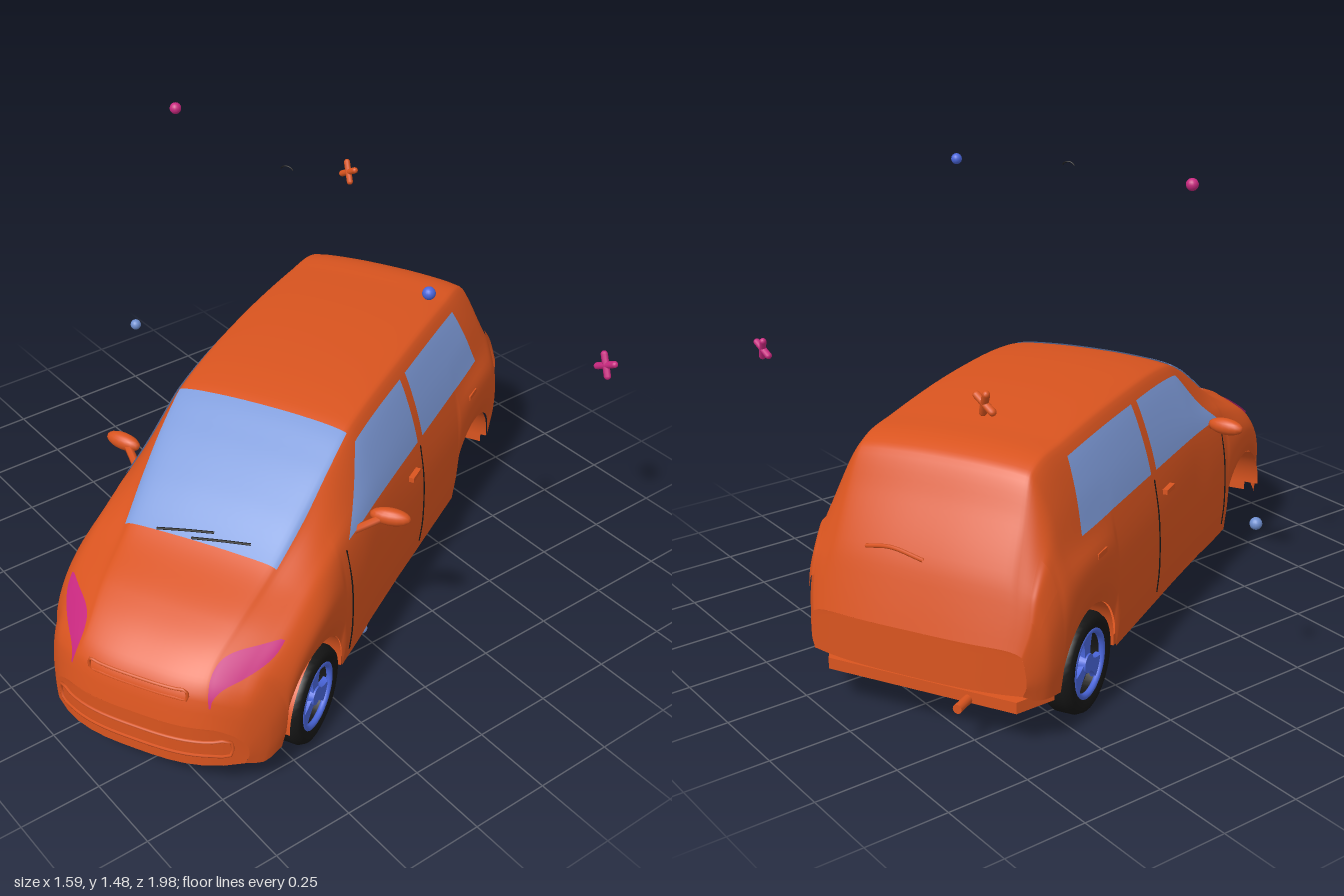
import * as THREE from 'three';

const mat = (color, side = THREE.DoubleSide) => new THREE.MeshStandardMaterial({ color, side });
const paint = mat(0xd9541f), glass = mat(0x7f9cdb), lamp = mat(0xc8287f), black = mat(0x161616);
const rimBlue = mat(0x4a66dc), paleBlue = mat(0x6f8fd0);

// body stations: z, sill width, sill y, belt y, belt width, roof edge width, roof edge y, top y
const STATIONS = [
  [-1.00, .34, .19, .30, .33, .30, .32, .33],
  [-.975, .36, .17, .36, .345, .31, .39, .41],
  [-.94, .38, .16, .45, .35, .30, .48, .51],
  [-.86, .395, .15, .53, .36, .29, .63, .66],
  [-.79, .40, .13, .54, .365, .28, .74, .772],
  [-.60, .40, .12, .54, .37, .285, .768, .805],
  [-.20, .395, .12, .54, .37, .29, .78, .82],
  [.15, .39, .12, .54, .37, .285, .76, .797],
  [.30, .395, .12, .535, .37, .28, .70, .735],
  [.45, .395, .12, .525, .365, .27, .615, .655],
  [.62, .395, .12, .49, .355, .25, .53, .555],
  [.80, .385, .12, .43, .345, .23, .47, .485],
  [.92, .37, .11, .36, .325, .21, .405, .415],
  [.98, .345, .10, .30, .31, .22, .335, .345],
  [1.0, .31, .12, .21, .29, .24, .25, .26],
];
const KEYS = STATIONS.map(s => s[0]);
const AXLES = [.62, -.66], ARCH = .178, HUB_Y = .15;

// smooth interpolation through unevenly spaced values
function ease(keys, vals, k) {
  const n = keys.length;
  let i = 0;
  while (i < n - 2 && k > keys[i + 1]) i++;
  const slope = j => {
    const a = Math.max(j - 1, 0), b = Math.min(j + 1, n - 1);
    return (vals[b] - vals[a]) / (keys[b] - keys[a]);
  };
  const h = keys[i + 1] - keys[i], t = (k - keys[i]) / h, t2 = t * t, t3 = t2 * t;
  return (2 * t3 - 3 * t2 + 1) * vals[i] + (t3 - 2 * t2 + t) * h * slope(i)
    + (3 * t2 - 2 * t3) * vals[i + 1] + (t3 - t2) * h * slope(i + 1);
}

// rounds the nose and tail in plan
function bend(z, x) {
  const f = THREE.MathUtils.clamp((z - .4) / .6, 0, 1) ** 2;
  const r = THREE.MathUtils.clamp((-z - .7) / .3, 0, 1);
  const c = Math.abs(x / .36) ** 3;
  return z - .14 * f * c + .04 * r * c;
}

// point on the body skin: T runs 0 (left sill) over 8 (roof middle) to 16 (right sill)
const INDEX = [0, 1, 2, 3, 4, 5, 6, 7, 8, 9];
function skin(z, T, squeeze = 1) {
  const [w, y0, belt, wb, wr, edge, top] = [1, 2, 3, 4, 5, 6, 7].map(c => ease(KEYS, STATIONS.map(s => s[c]), z));
  let yb = y0;
  const zs = bend(z, w);
  for (const a of AXLES) {
    const d = Math.abs(zs - a);
    if (d < ARCH) yb = Math.max(yb, HUB_Y + Math.sqrt(ARCH * ARCH - d * d));
  }
  const xs = [w * .97, w, w * .99, wb, wb * .48 + wr * .52 + .008, wr, wr * .86, wr * .45, 0, -wr * .45];
  const ys = [yb, yb + (belt - yb) * .3, yb + (belt - yb) * .68, belt, belt + (edge - belt) * .52, edge,
    edge + (top - edge) * .62, top - (top - edge) * .08, top, top - (top - edge) * .08];
  const t = T > 8 ? 16 - T : T;
  const x = ease(INDEX, xs, t) * (T > 8 ? -1 : 1) * squeeze;
  return new THREE.Vector3(x, ease(INDEX, ys, t), bend(z, x));
}

// grid surface from at(u, v), optionally lifted along its normals
function surface(at, nu, nv, lift = 0) {
  const pos = [], idx = [];
  for (let i = 0; i <= nu; i++) for (let j = 0; j <= nv; j++) pos.push(...at(i / nu, j / nv).toArray());
  for (let i = 0; i < nu; i++) for (let j = 0; j < nv; j++) {
    const a = i * (nv + 1) + j, c = a + nv + 1;
    idx.push(a, a + 1, c, a + 1, c + 1, c);
  }
  const g = new THREE.BufferGeometry();
  g.setAttribute('position', new THREE.Float32BufferAttribute(pos, 3));
  g.setIndex(idx);
  g.computeVertexNormals();
  const p = g.attributes.position, n = g.attributes.normal;
  for (let i = 0; lift && i < p.count; i++)
    p.setXYZ(i, p.getX(i) + n.getX(i) * lift, p.getY(i) + n.getY(i) * lift, p.getZ(i) + n.getZ(i) * lift);
  return g;
}

function add(parent, name, geo, material, x = 0, y = 0, z = 0) {
  const m = new THREE.Mesh(geo, material);
  m.name = name;
  m.position.set(x, y, z);
  parent.add(m);
  return m;
}
const box = (w, h, d) => new THREE.BoxGeometry(w, h, d);
const tube = (pts, r, closed = false) =>
  new THREE.TubeGeometry(new THREE.CatmullRomCurve3(pts, closed), 48, r, 6, closed);

function wheel() {
  const g = new THREE.Group();
  const half = [[.1, .04], [.122, .048], [.14, .042], [.149, .025]];
  const prof = [...half.map(([r, y]) => [r, -y]), ...half.reverse(), [.1, -.04]].map(p => new THREE.Vector2(...p));
  add(g, 'tyre', new THREE.LatheGeometry(prof, 40).rotateZ(Math.PI / 2), black);
  add(g, 'rimRing', new THREE.TorusGeometry(.097, .01, 8, 40).rotateY(Math.PI / 2), rimBlue, .034);
  add(g, 'brakeDisc', new THREE.CylinderGeometry(.098, .098, .02, 32).rotateZ(Math.PI / 2), black, -.01);
  add(g, 'hub', new THREE.CylinderGeometry(.028, .036, .03, 20).rotateZ(-Math.PI / 2), rimBlue, .024);
  const s = new THREE.Shape();
  s.moveTo(-.018, .02);
  s.quadraticCurveTo(-.016, .06, -.036, .09);
  s.lineTo(.036, .09);
  s.quadraticCurveTo(.016, .06, .018, .02);
  const spoke = new THREE.ExtrudeGeometry(s, { depth: .02, bevelEnabled: false }).rotateY(Math.PI / 2);
  for (let i = 0; i < 3; i++) add(g, 'spoke', spoke, rimBlue, .014).rotation.x = i * Math.PI * 2 / 3;
  return g;
}

export function createModel() {
  const root = new THREE.Group();
  const car = new THREE.Group();
  car.name = 'car';
  car.rotation.y = THREE.MathUtils.degToRad(27.5);
  car.position.set(.08, 0, .01);
  root.add(car);

  // painted shell with closed nose and tail
  add(car, 'bodyShell', surface((u, v) => skin(-1 + 2 * u, 16 * v), 200, 64), paint);
  add(car, 'nosePanel', surface((u, v) => skin(1, 16 * v, 1 - u), 6, 48), paint);
  add(car, 'tailPanel', surface((u, v) => skin(-1, 16 * v, u), 6, 48), paint);

  // floor with wheel notches
  const edge = [[.30, -.95], [.36, -.66 - ARCH], [.2, -.66 - ARCH], [.2, -.66 + ARCH], [.38, -.66 + ARCH],
    [.38, .62 - ARCH], [.2, .62 - ARCH], [.2, .62 + ARCH], [.33, .62 + ARCH], [.2, .95]];
  const outline = [...edge, ...edge.map(([x, z]) => [-x, z]).reverse()].map(p => new THREE.Vector2(...p));
  add(car, 'floor', new THREE.ExtrudeGeometry(new THREE.Shape(outline), { depth: .035, bevelEnabled: false })
    .rotateX(Math.PI / 2), paint, 0, .155, 0);

  // windscreen
  add(car, 'windscreen', surface((u, v) => skin(.19 + .41 * u, 5.35 + 5.3 * v), 20, 24, .004), glass);

  for (const s of [1, -1]) {
    const T = t => s > 0 ? t : 16 - t;
    const patch = (name, zt, m, lift = .004) => add(car, name, surface((u, v) => {
      const [z, t] = zt(u, s > 0 ? v : 1 - v);
      return skin(z, T(t));
    }, 24, 12, lift), m);
    const onSide = (z, t) => skin(z, T(t)).add(new THREE.Vector3(s * .001, 0, 0));
    // side glass, lamps
    patch('frontWindow', (u, v) => [-.15 + u * (.53 - .2 * v), 3.08 + 1.72 * v], glass);
    patch('rearWindow', (u, v) => [-.68 + .06 * v + u * (.49 - .06 * v), 3.08 + 1.72 * v], glass);
    patch('headlamp', (u, v) => [.79 + .195 * u,
      3.3 + 2.0 * u + (v - .5) * 1.5 * Math.sin(Math.PI * (.04 + .92 * u))], lamp, .005);
    patch('tailLamp', (u, v) => [-.965 + .08 * u, 2.5 + 1.6 * v], paint, .008);
    // door seams
    for (const z of [.4, -.17])
      add(car, 'doorSeam', tube([.3, 1, 2, 2.9].map(t => onSide(z, t)), .0025), black);
    // door handles
    for (const z of [-.09, -.6])
      add(car, 'doorHandle', box(.02, .016, .06), paint, s * .388, .47, z);
    // door mirror
    add(car, 'mirrorArm', tube([[.355, .535, .33], [.385, .545, .30], [.42, .56, .27]]
      .map(([x, y, z]) => new THREE.Vector3(s * x, y, z)), .013), paint);
    const head = add(car, 'mirrorHead', new THREE.SphereGeometry(1, 16, 10), paint, s * .445, .565, .255);
    head.scale.set(.062, .027, .026);
    head.rotation.y = s * .15;
    // wheel wells and axle blocks
    for (const z of AXLES) {
      add(car, 'wheelWell', new THREE.CylinderGeometry(ARCH, ARCH, .18, 32, 1, true, 0, Math.PI)
        .rotateZ(Math.PI / 2), paint, s * .29, HUB_Y, z);
      add(car, 'wellWall', new THREE.CircleGeometry(ARCH, 24, 0, Math.PI).rotateY(Math.PI / 2), paint, s * .2, HUB_Y, z);
      add(car, 'axleBlock', box(.1, .12, .13), paint, s * .235, .15, z);
    }
    // windscreen wiper
    add(car, 'wiper', tube([0, .5, 1].map(k => skin(.6 - .03 * k, 8 + s * .2 - 1.5 * k + (s < 0 ? 1.4 : 0))
      .add(new THREE.Vector3(0, .008, 0))), .004), black);
  }

  // grille and bumper intake frames following the nose
  const frame = (name, hw, y, hh, z) => {
    const pts = [];
    for (let i = 0; i <= 10; i++) pts.push([-hw + hw * i / 5, y + hh]);
    for (let i = 0; i <= 10; i++) pts.push([hw - hw * i / 5, y - hh]);
    add(car, name, tube(pts.map(([x, py]) => new THREE.Vector3(x, py, bend(z, x))), .005, true), paint);
  };
  frame('grilleFrame', .15, .355, .016, .978);
  frame('bumperIntake', .27, .185, .025, 1.002);
  // rear wiper and exhaust
  add(car, 'rearWiper', tube([[-.02, .52], [.08, .54], [.16, .53]]
    .map(([x, y]) => new THREE.Vector3(x, y, -.945)), .006), paint);
  add(car, 'exhaust', new THREE.CylinderGeometry(.014, .014, .12, 12).rotateX(Math.PI / 2), paint, -.15, .13, -.95);

  // fitted wheels: front left and rear right
  const fl = wheel(), rr = wheel();
  fl.name = 'frontLeftWheel';
  fl.position.set(.345, HUB_Y, AXLES[0]);
  rr.name = 'rearRightWheel';
  rr.position.set(-.345, HUB_Y, AXLES[1]);
  rr.rotation.y = Math.PI;
  car.add(fl, rr);

  // floating balls
  const ball = new THREE.SphereGeometry(.018, 16, 12);
  for (const [x, y, m] of [[-.49, 1.46, lamp], [.685, 1.345, rimBlue], [-.79, .55, paleBlue], [.465, .045, paleBlue]])
    add(root, 'floatingBall', ball, m, x, y, .015);

  // floating crosses
  for (const [x, y, m] of [[-.56, 1.005, paint], [.675, .835, lamp]]) {
    const cross = new THREE.Group();
    cross.name = 'floatingCross';
    cross.position.set(x, y, -.735);
    cross.rotation.set(-.2, 0, 0);
    for (const a of [.5, .5 + Math.PI / 2])
      add(cross, 'crossArm', new THREE.CapsuleGeometry(.011, .068, 4, 10), m).rotation.z = a;
    root.add(cross);
  }

  // small floating arc
  const arc = add(root, 'floatingArc', new THREE.TorusGeometry(.023, .002, 6, 16, 2).rotateZ(Math.PI / 2 - 1),
    black, .02, 1.424, -.025);
  arc.rotation.y = .46;
  return root;
}
